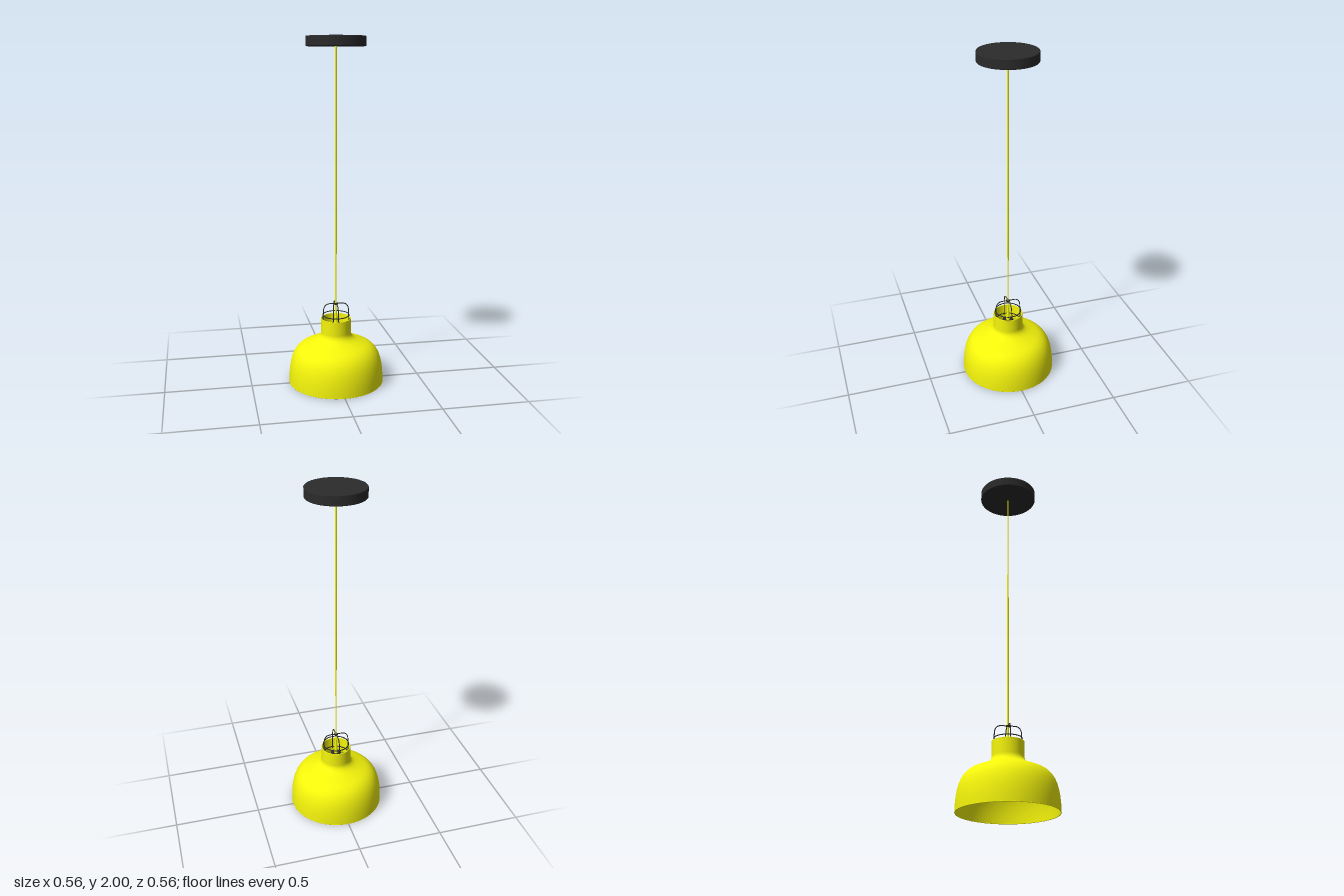
import * as THREE from 'three';

const yellow = new THREE.MeshStandardMaterial({ color: 0xf5f50c, side: THREE.DoubleSide });
const black = new THREE.MeshStandardMaterial({ color: 0x2b2b2b });

export function createModel() {
  const group = new THREE.Group();
  const add = (name, geometry, material, y = 0) => {
    const mesh = new THREE.Mesh(geometry, material);
    mesh.name = name;
    mesh.position.y = y;
    group.add(mesh);
    return mesh;
  };
  const v2 = (x, y) => new THREE.Vector2(x, y);
  const v3 = (x, y) => new THREE.Vector3(x, y, 0);

  // Ceiling canopy with a slightly softened edge
  add('canopy', new THREE.LatheGeometry([
    v2(0, 1.945), v2(0.165, 1.945), v2(0.165, 1.945), v2(0.167, 1.948), v2(0.167, 1.948),
    v2(0.167, 1.997), v2(0.167, 1.997), v2(0.165, 2), v2(0.165, 2), v2(0, 2),
  ], 40), black);

  // Cord and its tapered grip
  add('cord', new THREE.CylinderGeometry(0.0045, 0.0045, 1.65, 12), yellow, 1.125);
  add('cordGrip', new THREE.CylinderGeometry(0.005, 0.012, 0.09, 16), yellow, 0.385);

  // Bell shade: smooth outer curve, thin wall, open neck
  const curve = new THREE.Path();
  curve.moveTo(0.277, 0.004);
  curve.bezierCurveTo(0.277, 0.14, 0.25, 0.205, 0.19, 0.232);
  curve.bezierCurveTo(0.135, 0.256, 0.088, 0.262, 0.088, 0.305);
  const outer = [...curve.getPoints(18), v2(0.088, 0.385)];
  const inner = outer.map((p) => v2(p.x - 0.004, p.y - (p.y > 0.2 && p.y < 0.3 ? 0.003 : 0)));
  add('shadeOuter', new THREE.LatheGeometry(outer, 72), yellow);
  add('shadeInner', new THREE.LatheGeometry(inner.reverse(), 72), yellow);
  for (const [name, r, y] of [['shadeRim', 0.275, 0.003], ['neckRim', 0.086, 0.385]]) {
    add(name, new THREE.TorusGeometry(r, 0.0025, 8, 72), yellow, y).rotation.x = Math.PI / 2;
  }

  // Wire cage: two crossing arches rising out of the neck, tied by rings
  const arch = new THREE.CurvePath();
  const line = (a, b) => arch.add(new THREE.LineCurve3(a, b));
  const bend = (a, b, c) => arch.add(new THREE.QuadraticBezierCurve3(a, b, c));
  line(v3(-0.079, 0.32), v3(-0.075, 0.43));
  bend(v3(-0.075, 0.43), v3(-0.073, 0.475), v3(-0.035, 0.475));
  line(v3(-0.035, 0.475), v3(0.035, 0.475));
  bend(v3(0.035, 0.475), v3(0.073, 0.475), v3(0.075, 0.43));
  line(v3(0.075, 0.43), v3(0.079, 0.32));
  for (let i = 0; i < 2; i++) {
    add('cageArch', new THREE.TubeGeometry(arch, 80, 0.0028, 8), black).rotation.y = i * Math.PI / 2;
  }
  for (const y of [0.33, 0.405]) {
    add('cageRing', new THREE.TorusGeometry(0.077, 0.0028, 8, 48), black, y).rotation.x = Math.PI / 2;
  }
  add('cageCollar', new THREE.CylinderGeometry(0.011, 0.011, 0.01, 16), black, 0.473);

  // Lamp holder and bulb inside the shade
  add('socket', new THREE.CylinderGeometry(0.03, 0.03, 0.15, 24), black, 0.265);
  add('bulb', new THREE.SphereGeometry(0.045, 32, 20), black, 0.155);

  // Flat base level at the shade rim
  group.position.y = 0;
  return group;
}
